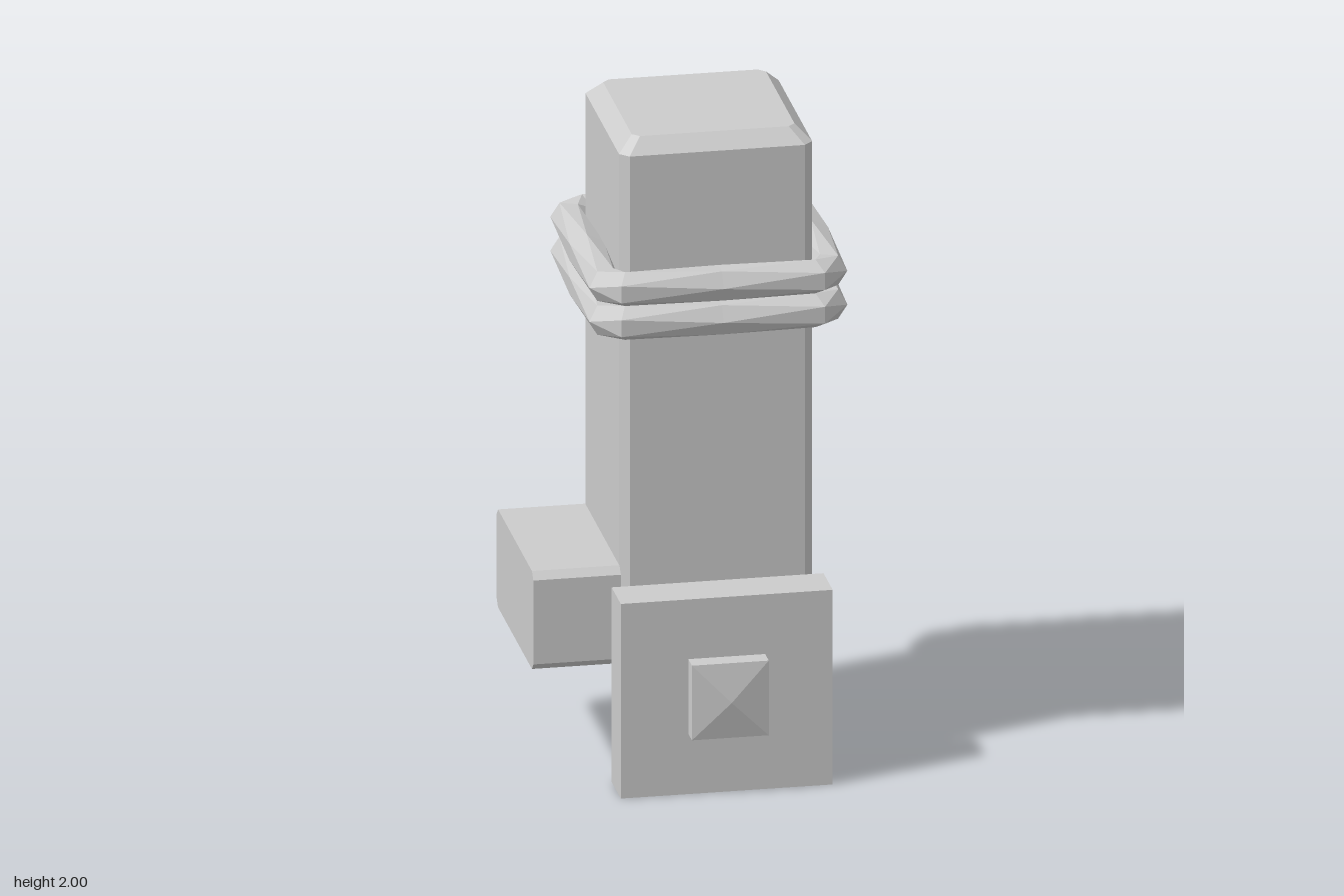
import * as THREE from 'three';

// Rectangle with cut corners, counter-clockwise in the xy plane
function cutRect(w, h, c) {
  const a = w / 2, b = h / 2;
  return [[a, -b + c], [a, b - c], [a - c, b], [-a + c, b],
    [-a, b - c], [-a, -b + c], [-a + c, -b], [a - c, -b]];
}

function facets(triangles) {
  const geo = new THREE.BufferGeometry();
  geo.setAttribute('position', new THREE.Float32BufferAttribute(triangles.flat(2), 3));
  geo.computeVertexNormals();
  return geo;
}

// Capped solid through sections stacked along +z
function loft(sections) {
  const rings = sections.map(([points, z]) => points.map(([x, y]) => [x, y, z]));
  const n = rings[0].length, last = rings[rings.length - 1], tris = [];
  for (let k = 0; k + 1 < rings.length; k++) {
    for (let j = 0; j < n; j++) {
      const m = (j + 1) % n, a = rings[k], b = rings[k + 1];
      tris.push([a[j], a[m], b[m]], [a[j], b[m], b[j]]);
    }
  }
  for (let j = 1; j + 1 < n; j++) {
    tris.push([rings[0][0], rings[0][j + 1], rings[0][j]], [last[0], last[j], last[j + 1]]);
  }
  return facets(tris);
}

// Faceted band: hexagonal sections around a cut square, every other one turned by half a step
function bandGeometry() {
  const path = [];
  for (let q = 0; q < 4; q++) {
    const t = q * Math.PI / 2, c = Math.cos(t), s = Math.sin(t);
    for (const [u, tilt] of [[0, 0], [0.285, Math.PI / 8], [-0.285, -Math.PI / 8]]) {
      // The third point of each group lies on the next side
      const next = u < 0;
      const cc = next ? -s : c, ss = next ? c : s;
      const angle = t + (next ? Math.PI / 2 : 0) + tilt;
      path.push({ x: 0.335 * ss + u * cc, z: 0.335 * cc - u * ss, angle });
    }
  }
  const rings = path.map(({ x, z, angle }, i) => {
    const odd = i % 2, r = odd ? 0.059 : 0.055;
    return Array.from({ length: 6 }, (_, j) => {
      const a = (j + odd * 0.5) * Math.PI / 3;
      const out = r * Math.cos(a);
      return [x + out * Math.sin(angle), 0.053 * Math.sin(a), z + out * Math.cos(angle)];
    });
  });
  const tris = [];
  rings.forEach((a, i) => {
    const b = rings[(i + 1) % rings.length];
    for (let j = 0; j < 6; j++) {
      const m = (j + 1) % 6;
      if (i % 2) tris.push([a[j], b[j], b[m]], [a[j], b[m], a[m]]);
      else tris.push([a[j], b[j], a[m]], [a[m], b[j], b[m]]);
    }
  });
  return facets(tris);
}

export function createModel() {
  const model = new THREE.Group();
  const grey = new THREE.MeshStandardMaterial({ color: 0xcccccc });
  grey.name = 'light grey';
  const add = (name, geo, x, y, z) => {
    const mesh = new THREE.Mesh(geo, grey);
    mesh.name = name;
    mesh.position.set(x, y, z);
    model.add(mesh);
  };
  const cx = 0.078, cz = -0.063;

  // Square column with cut corners and a bevelled top
  const shaft = cutRect(0.578, 0.578, 0.027);
  const column = loft([[shaft, 0], [shaft, 1.595], [cutRect(0.487, 0.487, 0.021), 1.64]]);
  add('column', column.rotateX(-Math.PI / 2), cx, 0.36, cz);

  // Two bands around the column
  const band = bandGeometry();
  add('lowerBand', band, cx, 1.452, cz);
  add('upperBand', band, cx, 1.558, cz);

  // Front plate with its raised stud
  add('frontPlate', new THREE.BoxGeometry(0.634, 0.61, 0.143), cx, 0.305, 0.3015);
  add('stud', new THREE.BoxGeometry(0.23, 0.234, 0.057), cx, 0.306, 0.4015);
  const tip = new THREE.ConeGeometry(0.115 * Math.SQRT2, 0.022, 4, 1, true).toNonIndexed();
  tip.rotateY(Math.PI / 4).rotateX(Math.PI / 2).scale(1, 1.017, 1).computeVertexNormals();
  add('studTip', tip, cx, 0.306, 0.441);

  // Side block with bevelled long edges
  const end = cutRect(0.573, 0.307, 0.022);
  const block = loft([[end, 0], [end, 0.262]]);
  add('sideBlock', block.rotateY(-Math.PI / 2), -0.21, 0.5135, cz);
  return model;
}
